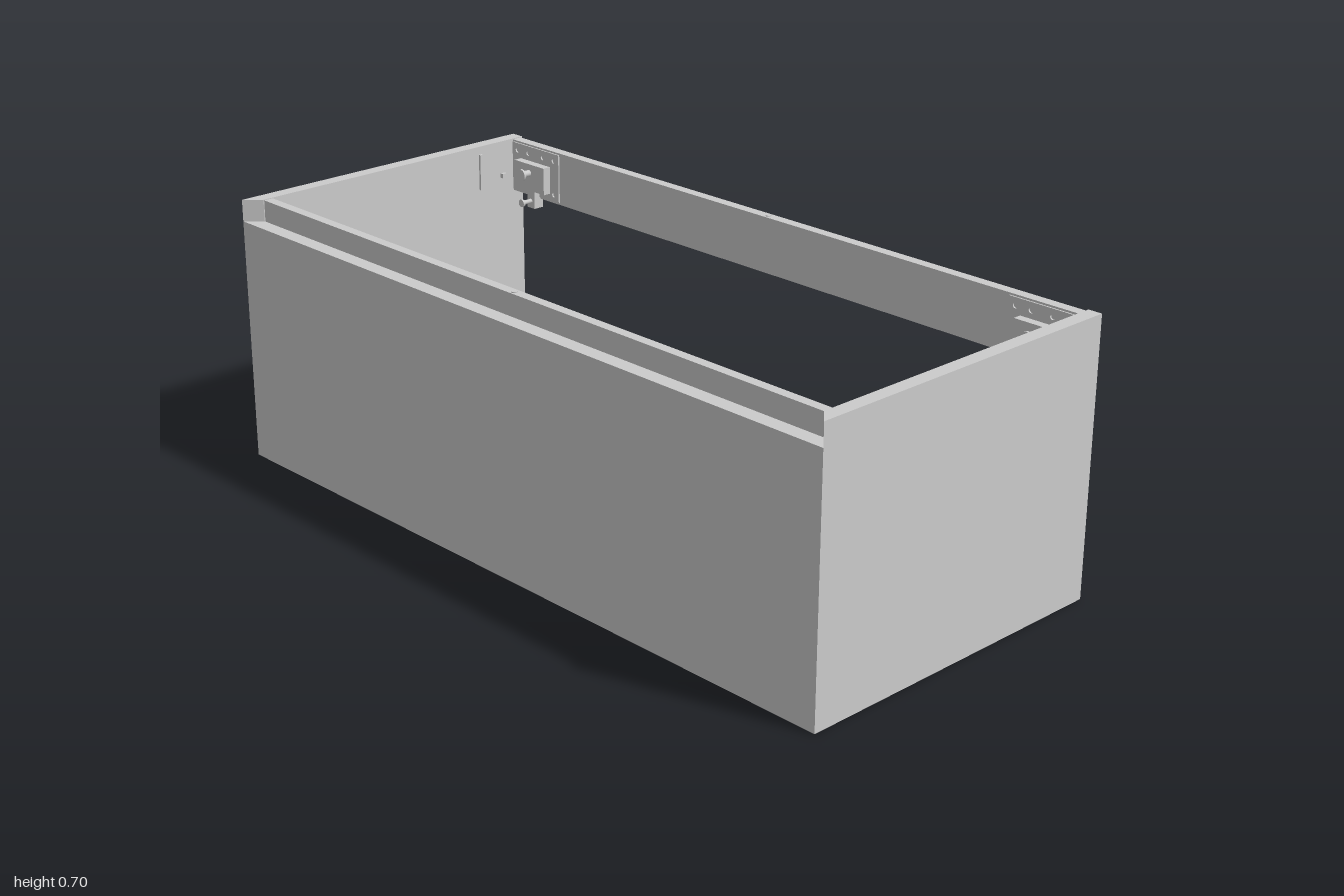
import * as THREE from 'three';

const H = 0.702, IN = 0.963, D = 0.45, FZ = 0.41; // height, inner side x, half depth, back of front panel

export function createModel() {
  const root = new THREE.Group();
  root.name = 'drawerCabinet';
  const mat = new THREE.MeshStandardMaterial({ color: 0xcccccc });

  const add = (name, geo, parent = root) => {
    const m = new THREE.Mesh(geo, mat);
    m.name = name;
    parent.add(m);
    return m;
  };
  // Box given by its limits on each axis
  const box = (name, x0, x1, y0, y1, z0, z1, parent) =>
    add(name, new THREE.BoxGeometry(Math.abs(x1 - x0), y1 - y0, z1 - z0), parent)
      .position.set((x0 + x1) / 2, (y0 + y1) / 2, (z0 + z1) / 2);
  // Panel with an [x, z] outline, extruded upwards from the ground
  const panel = (name, pts, height) => {
    const s = new THREE.Shape(pts.map(([x, z]) => new THREE.Vector2(x, -z)));
    return add(name, new THREE.ExtrudeGeometry(s, { depth: height, bevelEnabled: false }).rotateX(-Math.PI / 2));
  };
  // Flat plate in its own XY plane with round holes [x, y, r]
  const plate = (w, h, t, holes) => {
    const s = new THREE.Shape([[0, 0], [w, 0], [w, h], [0, h]].map(p => new THREE.Vector2(...p)));
    holes.forEach(([x, y, r]) => s.holes.push(new THREE.Path().absarc(x, y, r, 0, Math.PI * 2, true)));
    return new THREE.ExtrudeGeometry(s, { depth: t, bevelEnabled: false, curveSegments: 8 });
  };

  // Carcass: mitred front corners, front panel lower than the sides
  panel('frontPanel', [[-1, D], [1, D], [IN, FZ], [-IN, FZ]], 0.645);
  box('bottomPanel', -IN, IN, 0, 0.035, -0.323, FZ);
  box('lowerBackPanel', -IN, IN, 0, 0.17, -0.35, -0.323);
  box('upperBackRail', -IN, IN, 0.555, H - 0.002, -0.445, -0.417);
  box('upperFrontRail', -IN, IN, 0.555, H - 0.002, 0.382, FZ - 0.002);

  // Small dowels at the middle of each rail
  [[H - 0.002, -0.431], [0.17, -0.337], [H - 0.002, 0.396]].forEach(([y, z]) =>
    add('railDowel', new THREE.CylinderGeometry(0.008, 0.008, 0.004, 16)).position.set(0, y, z));

  for (const s of [-1, 1]) {
    panel('sidePanel', [[s, -D], [s, D], [s * IN, FZ], [s * IN, -D]], H);

    // Wall hanger: back cover, perforated inner plate, housing, hook and bolt
    const hanger = new THREE.Group();
    hanger.name = 'wallHanger';
    root.add(hanger);
    box('hangerCover', s * 0.805, s * 0.925, 0.56, 0.696, -0.45, -0.444, hanger);
    const holes = [];
    for (const x of [0.02, 0.065, 0.125, 0.17]) for (const y of [0.02, 0.115]) holes.push([x, y, 0.007]);
    add('hangerPlate', plate(0.19, 0.135, 0.004, holes), hanger)
      .position.set(s > 0 ? 0.77 : -0.96, 0.56, -0.417);
    box('hangerHousing', s * 0.805, s * 0.925, 0.58, 0.655, -0.413, -0.39, hanger);
    box('hangerHook', s * 0.85, s * 0.88, 0.53, 0.585, -0.425, -0.395, hanger);
    [[0.63, 0.009], [0.55, 0.006]].forEach(([y, r]) => {
      const bolt = add('hangerBolt', new THREE.CylinderGeometry(r, r, 0.04, 12).rotateX(Math.PI / 2), hanger);
      bolt.position.set(s * 0.865, y, -0.38);
      const head = add('boltHead', new THREE.CylinderGeometry(r * 1.8, r * 1.8, 0.006, 12).rotateX(Math.PI / 2), hanger);
      head.position.set(s * 0.865, y, -0.363);
    });
    box('sideTab', s * 0.957, s * IN, 0.58, 0.68, -0.305, -0.295);
    box('sidePin', s * 0.953, s * IN, 0.6, 0.612, -0.385, -0.37);

    // Drawer runner: channel bar, sliding tongue, and angle bracket on the side
    const runner = new THREE.Group();
    runner.name = 'drawerRunner';
    root.add(runner);
    box('runnerTop', s * 0.893, s * 0.92, 0.16, 0.166, -0.313, 0.378, runner);
    box('runnerInnerWall', s * 0.893, s * 0.898, 0.115, 0.16, -0.313, 0.378, runner);
    box('runnerOuterWall', s * 0.915, s * 0.92, 0.105, 0.16, -0.313, 0.378, runner);
    box('runnerTongue', s * 0.882, s * 0.893, 0.125, 0.145, -0.3, 0.02, runner);
    box('runnerCatch', s * 0.9, s * 0.913, 0.166, 0.178, -0.3, -0.275, runner);
    box('bracketFlange', s * 0.92, s * IN, 0.1, 0.105, -0.147, 0.378, runner);
    const slots = [0.03, 0.08, 0.13, 0.18, 0.23, 0.4, 0.49].map(x => [x, 0.045, 0.01]);
    const wall = add('bracketWall', plate(0.525, 0.08, 0.005, slots).rotateY(-Math.PI / 2), runner);
    wall.position.set(s > 0 ? IN : -IN + 0.005, 0.105, -0.147);
    // Adjusting screws standing on the flange
    for (const z of [-0.08, -0.02, 0.02, 0.07])
      add('bracketScrew', new THREE.CylinderGeometry(0.009, 0.009, 0.006, 10), runner)
        .position.set(s * 0.941, 0.108, z);
  }
  return root;
}
